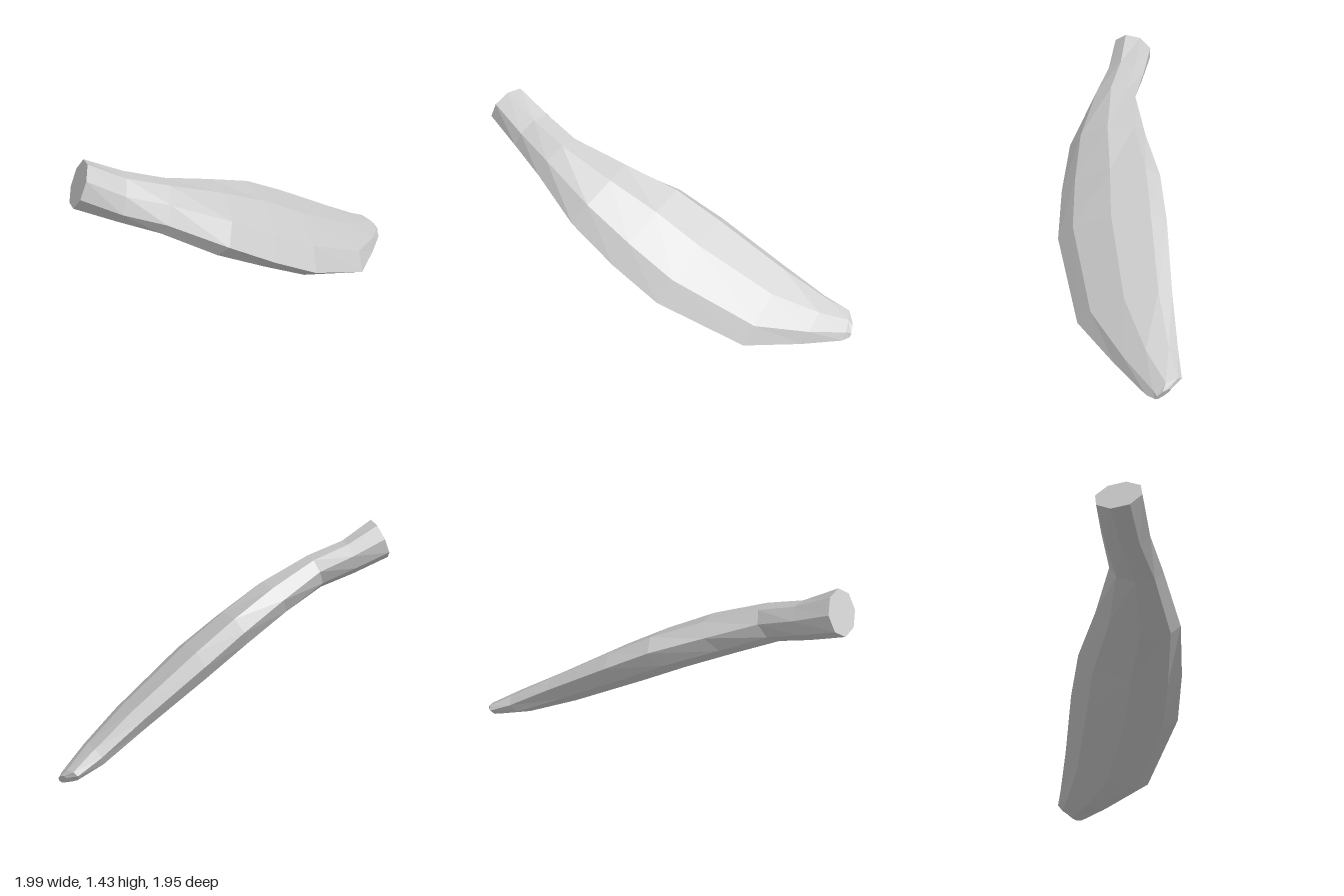
import * as THREE from 'three';

const SIDES = 8;
const material = new THREE.MeshStandardMaterial({ color: 0xcccccc, flatShading: true });

// Elliptical sections from grip end to tip: [centre, half width vector, half thickness vector]
const SECTIONS = [
  [[-0.915, 1.3, 0.83], [0.045, -0.03, 0.14], [0.07, 0.135, 0.01]],
  [[-0.7, 1.175, 0.73], [0.045, -0.045, 0.15], [0.05, 0.12, 0]],
  [[-0.46, 1.075, 0.645], [0.06, -0.045, 0.165], [0.05, 0.125, -0.025]],
  [[-0.17, 0.905, 0.46], [0.13, -0.075, 0.25], [0.06, 0.14, -0.06]],
  [[0.08, 0.73, 0.22], [0.16, -0.105, 0.32], [0.05, 0.145, -0.045]],
  [[0.32, 0.545, 0.005], [0.18, -0.115, 0.335], [0.04, 0.145, -0.035]],
  [[0.66, 0.265, -0.39], [0.18, -0.125, 0.25], [0.035, 0.115, -0.03]],
  [[0.82, 0.135, -0.7], [0.115, -0.065, 0.16], [0.03, 0.085, -0.02]],
  [[0.91, 0.075, -0.91], [0.085, -0.045, 0.07], [0.01, 0.05, -0.02]],
  [[0.95, 0.06, -0.935], [0.04, -0.03, 0.03], [0.01, 0.025, -0.005]],
].map((row) => row.map((p) => new THREE.Vector3(...p)));

// Skin a run of sections with quads, optionally closing either end
function loft(name, sections, capStart, capEnd) {
  const positions = [];
  const index = [];
  for (const [centre, u, v] of sections) {
    for (let j = 0; j < SIDES; j++) {
      const a = (j / SIDES) * Math.PI * 2;
      const p = centre.clone().addScaledVector(u, Math.cos(a)).addScaledVector(v, Math.sin(a));
      positions.push(p.x, p.y, p.z);
    }
  }
  for (let i = 0; i < sections.length - 1; i++) {
    for (let j = 0; j < SIDES; j++) {
      const k = (j + 1) % SIDES;
      const a = i * SIDES + j, b = i * SIDES + k;
      const c = b + SIDES, d = a + SIDES;
      index.push(a, d, b, b, d, c);
    }
  }
  const last = (sections.length - 1) * SIDES;
  for (let j = 1; j < SIDES - 1; j++) {
    if (capStart) index.push(0, j, j + 1);
    if (capEnd) index.push(last, last + j + 1, last + j);
  }
  const geometry = new THREE.BufferGeometry();
  geometry.setAttribute('position', new THREE.Float32BufferAttribute(positions, 3));
  geometry.setIndex(index);
  geometry.computeVertexNormals();
  const mesh = new THREE.Mesh(geometry, material);
  mesh.name = name;
  return mesh;
}

export function createModel() {
  const group = new THREE.Group();
  group.name = 'paddleClub';
  // Octagonal grip, then the broad flattened blade narrowing to a blunt tip
  group.add(loft('grip', SECTIONS.slice(0, 3), true, false));
  group.add(loft('blade', SECTIONS.slice(2), false, true));
  return group;
}
